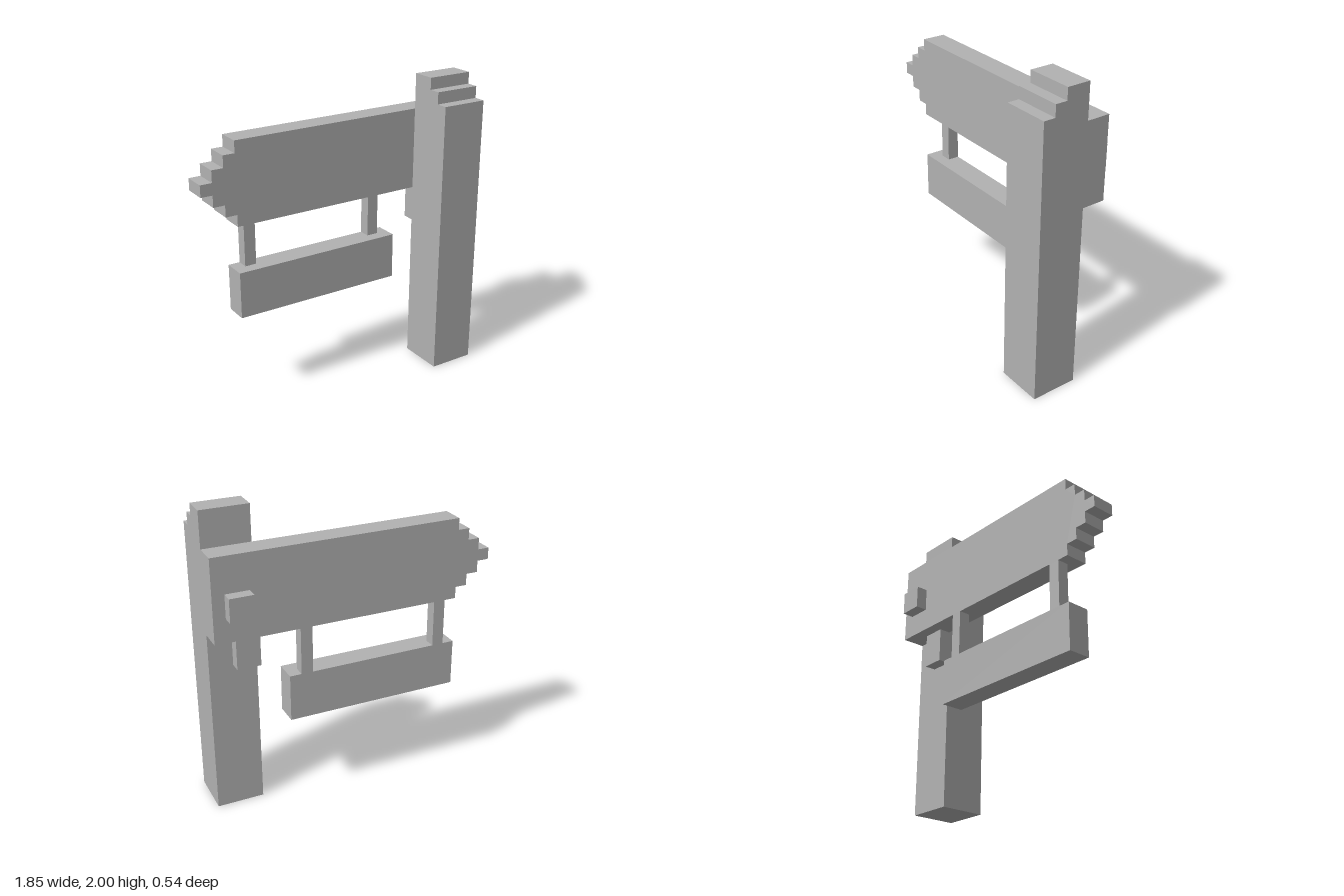
import * as THREE from 'three';

const U = 2 / 26; // one block unit

export function createModel() {
  const group = new THREE.Group();
  group.name = 'signpost';
  const grey = new THREE.MeshStandardMaterial({ color: 0xb2b2b2 });
  grey.name = 'grey';

  const add = (name, geometry) => {
    const mesh = new THREE.Mesh(geometry, grey);
    mesh.name = name;
    group.add(mesh);
  };
  // Box from min and max corners, in block units
  const box = (name, a, b) => {
    const s = b.map((v, i) => (v - a[i]) * U);
    const c = b.map((v, i) => (v + a[i]) * U / 2);
    add(name, new THREE.BoxGeometry(...s).translate(...c));
  };
  // Outline extruded to a depth, in block units
  const extrude = (points, depth) => new THREE.ExtrudeGeometry(
    new THREE.Shape(points.map(([x, y]) => new THREE.Vector2(x * U, y * U))),
    { depth: depth * U, bevelEnabled: false });

  // Post with a stepped top, outlined in z and y
  const post = extrude([[-0.5, 0], [3.5, 0], [3.5, 24], [2.5, 24], [2.5, 25],
    [1.5, 25], [1.5, 26], [-0.5, 26]], 4);
  add('post', post.rotateY(-Math.PI / 2).translate(12 * U, 0, 0));

  // Arrow board: the pointed end steps in one unit at a time
  const lower = [], upper = [];
  for (let i = 0; i < 4; i++) {
    lower.push([-9 - i, 16 + i]);
    upper.unshift([-9 - i, 23 - i]);
    if (i < 3) {
      lower.push([-9 - i, 17 + i]);
      upper.unshift([-9 - i, 22 - i]);
    }
  }
  const outline = [[12, 16], ...lower, ...upper, [12, 23]].reverse();
  add('arrowBoard', extrude(outline, 2).translate(0, 0, -2.5 * U));

  // Hanging board and its two hangers
  box('hangingBoard', [-9, 8, -2.5], [6, 12, -0.5]);
  for (const x of [-8, 4]) box('hanger', [x, 12, -2.5], [x + 1, 16, -1.5]);

  // Peg behind the board and bracket below it
  box('backPeg', [9, 18, -3.5], [11, 20, -2.5]);
  box('bracket', [8, 13, -1.5], [10, 16, -0.5]);

  return group;
}
